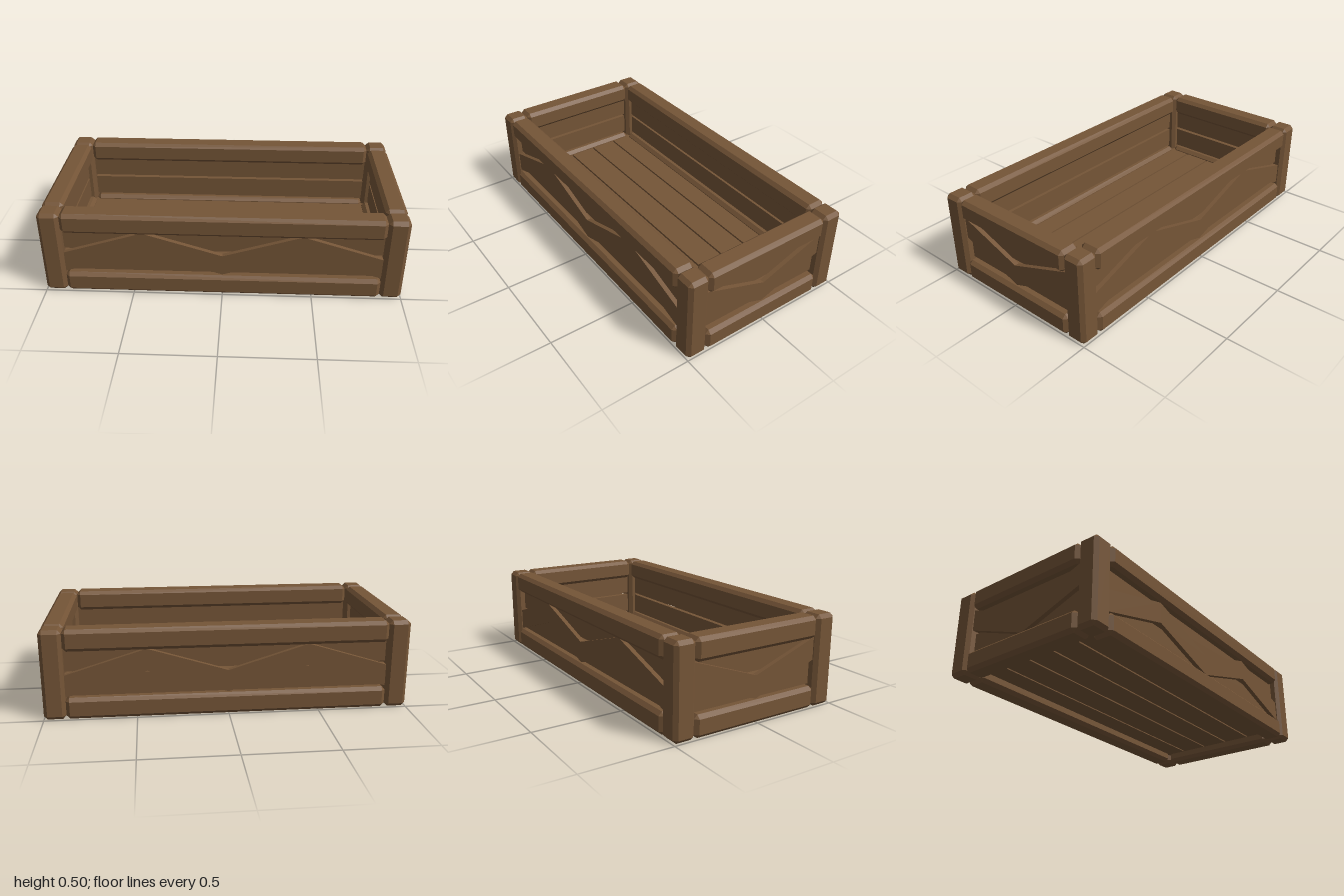
import * as THREE from 'three';
import { ConvexGeometry } from 'three/addons/geometries/ConvexGeometry.js';

const wood = new THREE.MeshStandardMaterial({ color: 0x755537 });
wood.name = 'brownWood';

const HX = 1, HZ = 0.5, HEIGHT = 0.5, BEAM = 0.12, BEVEL = 0.02;

// box with every edge chamfered
function bevelledBox(w, h, d, b = BEVEL) {
  const points = [];
  for (const x of [-1, 1]) for (const y of [-1, 1]) for (const z of [-1, 1]) {
    const p = [x * w / 2, y * h / 2, z * d / 2], s = [x, y, z];
    for (let keep = 0; keep < 3; keep++) {
      points.push(new THREE.Vector3(...p.map((v, i) => (i === keep ? v : v - s[i] * b))));
    }
  }
  return new ConvexGeometry(points);
}

function add(parent, name, geometry, x, y, z) {
  const mesh = new THREE.Mesh(geometry, wood);
  mesh.name = name;
  mesh.position.set(x, y, z);
  parent.add(mesh);
}

// zigzag board: the lower outline copied upward to make a band
function zigzag(length, heights, band, depth) {
  const step = length / (heights.length - 1);
  const lower = heights.map((y, i) => new THREE.Vector2(-length / 2 + i * step, y));
  const upper = lower.map((p) => new THREE.Vector2(p.x, p.y + band)).reverse();
  return new THREE.ExtrudeGeometry(new THREE.Shape([...lower, ...upper]), { depth, bevelEnabled: false });
}

// one wall facing +z, its outer face at z = out
function wall(name, length, out, heights) {
  const g = new THREE.Group();
  g.name = name;
  const rail = bevelledBox(length, BEAM, BEAM);
  add(g, 'bottomRail', rail, 0, BEAM / 2, out - BEAM / 2);
  add(g, 'topRail', rail, 0, HEIGHT - BEAM / 2, out - BEAM / 2);
  const slat = new THREE.BoxGeometry(length, 0.125, 0.03);
  add(g, 'lowerSlat', slat, 0, 0.1825, out - 0.065);
  add(g, 'upperSlat', slat, 0, 0.3225, out - 0.065);
  add(g, 'zigzagBoard', zigzag(length, heights, 0.123, 0.025), 0, 0, out - 0.05);
  return g;
}

export function createModel() {
  const crate = new THREE.Group();
  crate.name = 'woodenCrate';

  // corner posts
  const post = bevelledBox(BEAM, HEIGHT, BEAM);
  for (const sx of [-1, 1]) for (const sz of [-1, 1]) {
    add(crate, 'cornerPost', post, sx * (HX - BEAM / 2), HEIGHT / 2, sz * (HZ - BEAM / 2));
  }

  // long and short walls, each pair turned half round
  const lo = 0.122, hi = 0.258;
  for (const turn of [0, 1]) {
    const long = wall(turn ? 'backWall' : 'frontWall', 2 * (HX - BEAM), HZ, [lo, hi, lo, hi, lo]);
    long.rotation.y = turn * Math.PI;
    const short = wall(turn ? 'rightWall' : 'leftWall', 2 * (HZ - BEAM), HX, [hi, lo, hi]);
    short.rotation.y = Math.PI / 2 + turn * Math.PI;
    crate.add(long, short);
  }

  // floor planks with narrow gaps
  const plank = new THREE.BoxGeometry(1.8, 0.04, 0.158);
  for (let i = -2; i <= 2; i++) add(crate, 'floorPlank', plank, 0, 0.075, i * 0.168);

  return crate;
}
